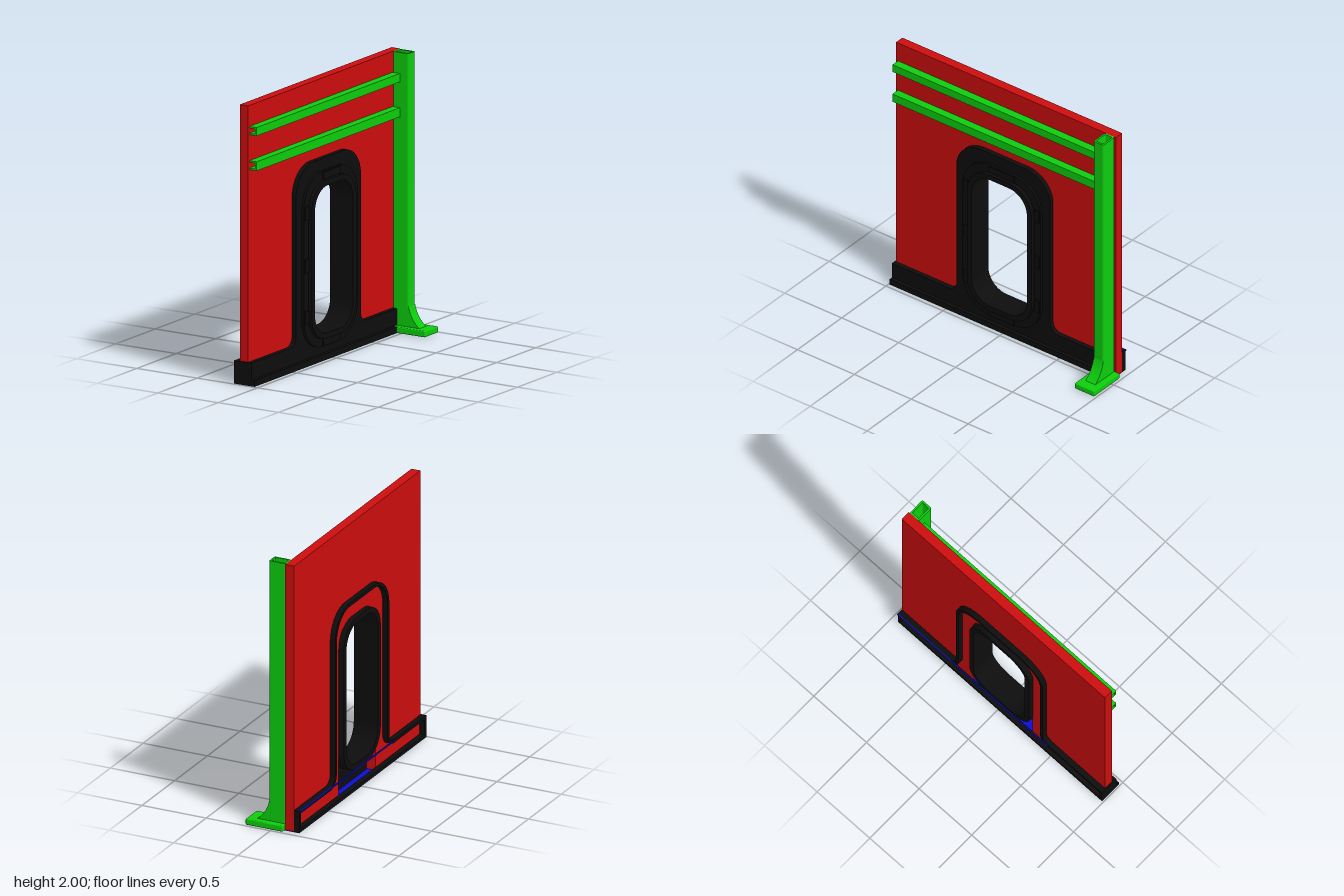
import * as THREE from 'three';
import { RoundedBoxGeometry } from 'three/addons/geometries/RoundedBoxGeometry.js';

const mat = (name, color) => {
  const m = new THREE.MeshStandardMaterial({ color });
  m.name = name;
  return m;
};

export function createModel() {
  const group = new THREE.Group();
  const red = mat('red', 0xcc0d0d);
  const green = mat('green', 0x0dcc0d);
  const black = mat('black', 0x0d0d0d);
  const blue = mat('blue', 0x0d0dcc);

  const add = (name, geo, material) => {
    const m = new THREE.Mesh(geo, material);
    m.name = name;
    group.add(m);
    return m;
  };
  const box = (name, material, x0, x1, y0, y1, z0, z1) => {
    const g = new THREE.BoxGeometry(x1 - x0, y1 - y0, z1 - z0);
    g.translate((x0 + x1) / 2, (y0 + y1) / 2, (z0 + z1) / 2);
    return add(name, g, material);
  };
  // Extrude a shape drawn in (-z, y) from x0 to x1
  const slab = (name, material, shape, x0, x1) => {
    const g = new THREE.ExtrudeGeometry(shape, { depth: x1 - x0, bevelEnabled: false, curveSegments: 10 });
    g.rotateY(Math.PI / 2).translate(x0, 0, 0);
    return add(name, g, material);
  };
  const roundRect = (u0, u1, y0, y1, r) => {
    const s = new THREE.Shape();
    const H = Math.PI / 2;
    s.absarc(u1 - r, y0 + r, r, -H, 0);
    s.absarc(u1 - r, y1 - r, r, 0, H);
    s.absarc(u0 + r, y1 - r, r, H, 2 * H);
    s.absarc(u0 + r, y0 + r, r, 2 * H, 3 * H);
    s.closePath();
    return s;
  };
  // Window outline, grown by t
  const opening = (t) => roundRect(-0.255 - t, 0.23 + t, 0.2 - t, 1.255 + t, 0.16 + t * 0.8);
  // Arch standing on a long skirt, inset by t
  const archOutline = (t, end = 0.95) => {
    const H = Math.PI / 2, r = 0.22 - t, f = 0.07 + t;
    const a0 = -0.425 + t, a1 = 0.4 - t, top = 1.44 - t, b = 0.165 - t;
    const s = new THREE.Shape();
    s.moveTo(-0.99 + t, t);
    s.lineTo(end - t, t);
    s.lineTo(end - t, b);
    s.absarc(a1 + f, b + f, f, -H, -2 * H, true);
    s.absarc(a1 - r, top - r, r, 0, H);
    s.absarc(a0 + r, top - r, r, H, 2 * H);
    s.absarc(a0 - f, b + f, f, 0, -H, true);
    s.lineTo(-0.99 + t, b);
    s.closePath();
    return s;
  };
  const ring = (outer, inner) => {
    outer.holes.push(inner);
    return outer;
  };

  // Wall panel with a doorway notch behind the window surround
  const wall = new THREE.Shape();
  wall.moveTo(-0.98, 0.004);
  wall.lineTo(-0.29, 0.004);
  wall.lineTo(-0.29, 1.1);
  wall.quadraticCurveTo(-0.29, 1.28, -0.11, 1.28);
  wall.lineTo(0.09, 1.28);
  wall.quadraticCurveTo(0.27, 1.28, 0.27, 1.1);
  wall.lineTo(0.27, 0.004);
  wall.lineTo(0.95, 0.004);
  wall.lineTo(0.95, 2);
  wall.lineTo(-0.98, 2);
  wall.closePath();
  slab('wallPanel', red, wall, -0.16, -0.09);

  // Window surround: outer plate, back rim, stepped flange and liner
  slab('surroundPlate', black, ring(archOutline(0, 0.86), opening(0)), -0.092, -0.056);
  slab('backRim', black, ring(archOutline(0), archOutline(0.025)), -0.2, -0.159);
  slab('steppedFlange', black, ring(opening(0.1), opening(0)), -0.06, -0.037);
  slab('windowLiner', black, ring(opening(0.04), opening(0)), -0.2, -0.01);
  box('skirtEnd', black, -0.17, -0.056, 0, 0.165, 0.98, 0.99);
  box('skirtLip', black, -0.06, -0.03, 0, 0.045, -0.82, 0.99);

  // Clamping pads around the flange
  for (const y of [0.35, 0.72, 1.1]) {
    for (const z of [0.325, -0.3]) box('flangePad', black, -0.04, -0.028, y - 0.05, y + 0.05, z - 0.02, z + 0.02);
  }
  for (const y of [0.13, 1.325]) box('flangePad', black, -0.04, -0.028, y - 0.025, y + 0.025, -0.1, 0.12);

  // Base sheet and its rear edge
  box('baseSheet', blue, -0.2, -0.032, -0.001, 0.001, -0.95, 0.988);
  box('rearEdge', blue, -0.208, -0.2, 0.155, 0.165, -0.95, 0.48);

  // Two channel rails, open toward the wall
  for (const [y0, y1] of [[1.54, 1.605], [1.79, 1.85]]) {
    const t = 0.012;
    const s = new THREE.Shape([
      [-0.09, y0], [-0.03, y0], [-0.03, y1], [-0.09, y1],
      [-0.09, y1 - t], [-0.03 - t, y1 - t], [-0.03 - t, y0 + t], [-0.09, y0 + t],
    ].map(([x, y]) => new THREE.Vector2(x, y)));
    const g = new THREE.ExtrudeGeometry(s, { depth: 1.82, bevelEnabled: false });
    add('rail', g.translate(0, 0, -0.855), green);
  }

  // Hollow post
  const section = ring(roundRect(-0.09, 0.04, 0.855, 0.942, 0.012), roundRect(-0.076, 0.026, 0.869, 0.928, 0.006));
  const post = new THREE.ExtrudeGeometry(section, { depth: 1.98, bevelEnabled: false, curveSegments: 4 });
  add('post', post.rotateX(-Math.PI / 2).translate(0, 0.02, 0), green);

  // Foot plate and curved gusset
  const foot = new RoundedBoxGeometry(0.29, 0.045, 0.172, 2, 0.008);
  add('footPlate', foot.translate(0.057, 0.0225, -0.9), green);
  const gusset = new THREE.Shape();
  gusset.moveTo(0.03, 0.03);
  gusset.lineTo(0.14, 0.03);
  gusset.lineTo(0.13, 0.045);
  gusset.quadraticCurveTo(0.06, 0.1, 0.04, 0.19);
  gusset.lineTo(0.03, 0.19);
  gusset.closePath();
  const gg = new THREE.ExtrudeGeometry(gusset, { depth: 0.085, bevelEnabled: false, curveSegments: 10 });
  add('gusset', gg.translate(0, 0, -0.941), green);

  return group;
}
